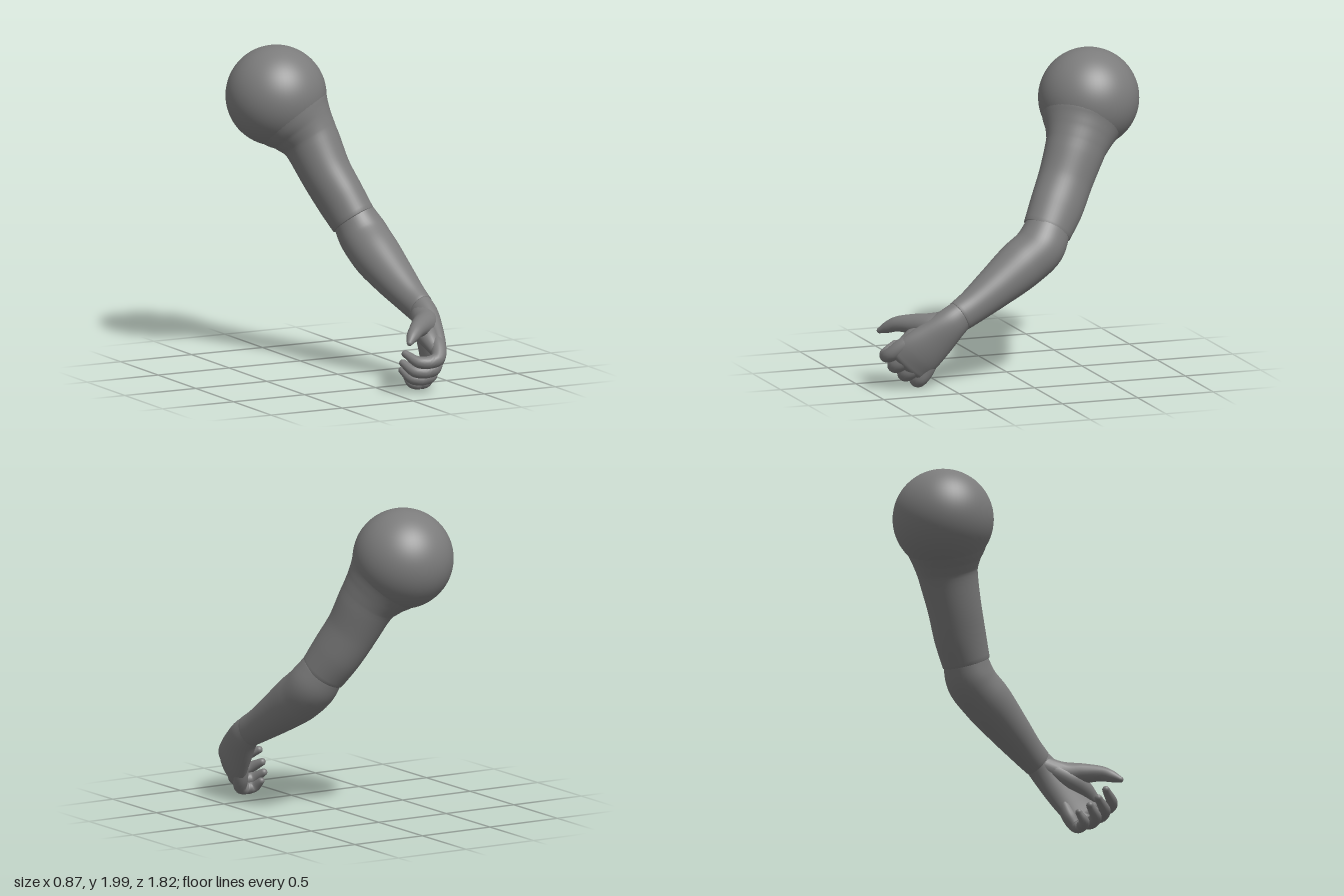
import * as THREE from 'three';

const material = new THREE.MeshStandardMaterial({ color: 0x7c7c7c });
const X = new THREE.Vector3(1, 0, 0);

// Smooth tube through sections [x, y, z, radiusAcross, radiusOther] with domed ends.
// cap0 / cap1 set how far each dome bulges, relative to the radius.
function loft(name, sections, { steps = 28, sides = 32, cap0 = 0.5, cap1 = 1 } = {}) {
  const path = new THREE.CatmullRomCurve3(sections.map(s => new THREE.Vector3(s[0], s[1], s[2])));
  const radii = new THREE.CatmullRomCurve3(sections.map(s => new THREE.Vector3(s[3], s[4] ?? s[3], 0)));
  const rings = [];
  const addRing = (t, shrink = 1, bulge = 0) => {
    const r = radii.getPoint(t), dir = path.getTangent(t);
    const p = path.getPoint(t).addScaledVector(dir, bulge * Math.min(r.x, r.y));
    const a = X.clone().addScaledVector(dir, -X.dot(dir)).normalize();
    const b = dir.clone().cross(a);
    rings.push({ p, a: a.multiplyScalar(r.x * shrink), b: b.multiplyScalar(r.y * shrink) });
  };
  const capSteps = 6;
  for (let k = capSteps - 1; k > 0; k--) {
    const q = k / capSteps * Math.PI / 2;
    addRing(0, Math.cos(q), -cap0 * Math.sin(q));
  }
  for (let k = 0; k <= steps; k++) addRing(k / steps);
  for (let k = 1; k < capSteps; k++) {
    const q = k / capSteps * Math.PI / 2;
    addRing(1, Math.cos(q), cap1 * Math.sin(q));
  }

  const pos = [], index = [];
  for (const { p, a, b } of rings) {
    for (let i = 0; i < sides; i++) {
      const q = i / sides * Math.PI * 2;
      const v = p.clone().addScaledVector(a, Math.cos(q)).addScaledVector(b, Math.sin(q));
      pos.push(v.x, v.y, v.z);
    }
  }
  const first = pos.length / 3, last = first + 1, end = (rings.length - 1) * sides;
  pos.push(...rings[0].p.toArray(), ...rings[rings.length - 1].p.toArray());
  for (let i = 0; i < sides; i++) {
    const j = (i + 1) % sides;
    index.push(first, j, i, last, end + i, end + j);
    for (let r = 0; r < rings.length - 1; r++) {
      const m = r * sides, n = m + sides;
      index.push(m + i, m + j, n + j, m + i, n + j, n + i);
    }
  }
  const geo = new THREE.BufferGeometry();
  geo.setAttribute('position', new THREE.Float32BufferAttribute(pos, 3));
  geo.setIndex(index);
  geo.computeVertexNormals();
  const mesh = new THREE.Mesh(geo, material);
  mesh.name = name;
  return mesh;
}

export function createModel() {
  const model = new THREE.Group();
  model.name = 'arm';

  // Shoulder ball
  const shoulder = new THREE.Mesh(new THREE.SphereGeometry(0.315, 64, 40), material);
  shoulder.name = 'shoulder';
  shoulder.position.set(-0.122, 1.685, -0.59);
  model.add(shoulder);

  // Upper arm, flared to run smoothly out of the ball
  model.add(loft('upperArm', [
    [-0.057, 1.58, -0.53, 0.272, 0.272],
    [-0.028, 1.534, -0.506, 0.247, 0.247],
    [0.006, 1.48, -0.478, 0.208, 0.218],
    [0.042, 1.41, -0.442, 0.178, 0.193],
    [0.1, 1.22, -0.352, 0.157, 0.175],
    [0.158, 1.07, -0.272, 0.149, 0.172],
    [0.21, 0.935, -0.19, 0.142, 0.156],
  ], { sides: 48, steps: 40, cap1: 0.08 }));

  // Forearm, widest just past the elbow
  model.add(loft('forearm', [
    [0.215, 0.945, -0.195, 0.136, 0.146],
    [0.25, 0.835, -0.12, 0.155, 0.158],
    [0.266, 0.745, 0.0, 0.154, 0.157],
    [0.303, 0.61, 0.2, 0.127, 0.13],
    [0.333, 0.515, 0.35, 0.098, 0.108],
    [0.349, 0.465, 0.44, 0.083, 0.1],
  ], { sides: 48, cap0: 0.5, cap1: 0.08 }));

  // Hand: flat palm, thumb and four curled fingers
  const hand = new THREE.Group();
  hand.name = 'hand';
  model.add(hand);

  hand.add(loft('palm', [
    [0.35, 0.475, 0.43, 0.076, 0.094],
    [0.35, 0.42, 0.5, 0.08, 0.108],
    [0.33, 0.325, 0.6, 0.075, 0.132],
    [0.303, 0.235, 0.695, 0.066, 0.15],
    [0.278, 0.175, 0.752, 0.054, 0.148],
  ], { sides: 40, cap1: 0.9 }));

  hand.add(loft('thumb', [
    [0.345, 0.44, 0.47, 0.075],
    [0.305, 0.405, 0.59, 0.083],
    [0.22, 0.407, 0.69, 0.065],
    [0.14, 0.398, 0.775, 0.048],
    [0.09, 0.372, 0.82, 0.038],
    [0.05, 0.345, 0.86, 0.019],
  ], { sides: 20 }));

  // Flesh between thumb and index finger
  hand.add(loft('thumbWeb', [
    [0.325, 0.42, 0.52, 0.07],
    [0.278, 0.365, 0.63, 0.075],
    [0.262, 0.325, 0.72, 0.062],
    [0.262, 0.28, 0.79, 0.045],
  ], { sides: 24 }));

  // Each finger: knuckle, middle joint, end joint, tip, and radius
  const fingers = {
    indexFinger: [[0.29, 0.3, 0.775], [0.24, 0.225, 0.866], [0.13, 0.212, 0.85], [0.07, 0.258, 0.765], 0.043],
    middleFinger: [[0.29, 0.235, 0.73], [0.24, 0.155, 0.813], [0.13, 0.145, 0.795], [0.08, 0.19, 0.715], 0.044],
    ringFinger: [[0.288, 0.17, 0.685], [0.245, 0.097, 0.75], [0.14, 0.09, 0.735], [0.1, 0.135, 0.665], 0.043],
    littleFinger: [[0.288, 0.125, 0.635], [0.26, 0.053, 0.675], [0.17, 0.048, 0.67], [0.15, 0.095, 0.615], 0.039],
  };
  const wrist = new THREE.Vector3(0.335, 0.38, 0.54);
  for (const [name, [knuckle, middle, end, tip, r]] of Object.entries(fingers)) {
    const root = new THREE.Vector3(...knuckle).lerp(wrist, 0.45).toArray();
    hand.add(loft(name, [
      [...root, r * 1.1], [...knuckle, r * 1.2], [...middle, r * 1.02], [...end, r * 0.87], [...tip, r * 0.55],
    ], { sides: 18, steps: 30 }));
  }

  return model;
}
